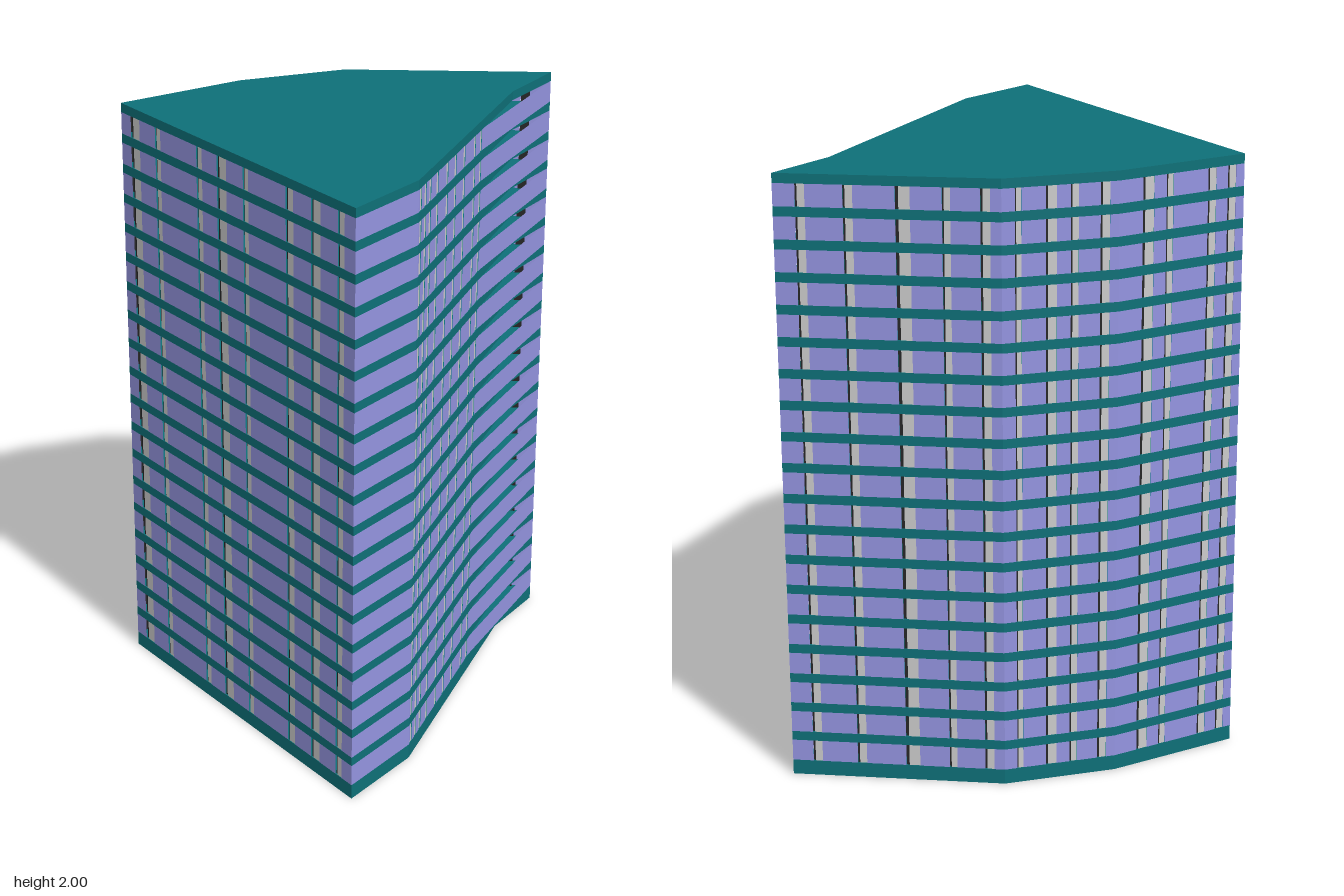
import * as THREE from 'three';
import { mergeGeometries } from 'three/addons/utils/BufferGeometryUtils.js';

const STOREYS = 19, BASE = 0.05, SLAB = 0.031;
const PITCH = (2 - BASE) / STOREYS;
const GLASS_H = PITCH - SLAB;

// Floor plate outline as [x, z], counter-clockwise seen from above
const outline = [[0.3, 0.72], [0.43, 0.44], [0.56, -0.49], [0.65, -0.73],
  [-0.03, -0.6], [-0.34, -0.4], [-0.65, -0.075]];

// Facades: start, end and pillar gaps as [fraction along the wall, gap width]
const facades = [
  { a: [0.3, 0.72], b: [0.43, 0.44], gaps: [] },
  { a: [0.43, 0.44], b: [0.515, -0.18],
    gaps: [0.03, 0.1, 0.17, 0.28, 0.43, 0.56, 0.7, 0.87, 0.97].map((t) => [t, 0.018]) },
  { a: [0.515, -0.18], b: [0.65, -0.73], gaps: [] },
  { a: [0.65, -0.73], b: [-0.03, -0.6],
    gaps: [[0.12, 0.03], [0.33, 0.03], [0.57, 0.045], [0.76, 0.025], [0.93, 0.03]] },
  { a: [-0.03, -0.6], b: [-0.34, -0.4], gaps: [[0.14, 0.02], [0.42, 0.035], [0.62, 0.025], [0.88, 0.03]] },
  { a: [-0.34, -0.4], b: [-0.65, -0.075], gaps: [[0.23, 0.04], [0.4, 0.025], [0.74, 0.03], [0.9, 0.03]] },
  { a: [-0.65, -0.075], b: [0.3, 0.72],
    gaps: [[0.065, 0.05], [0.17, 0.03], [0.357, 0.03], [0.455, 0.05],
      [0.558, 0.028], [0.74, 0.038], [0.845, 0.046], [0.945, 0.032]] },
];

// Upright panel between distances s and e along a facade, set back from its face
function panel({ a, b }, s, e, inset) {
  const dx = b[0] - a[0], dz = b[1] - a[1], len = Math.hypot(dx, dz);
  const ux = dx / len, uz = dz / len, mid = (s + e) / 2;
  const g = new THREE.PlaneGeometry(e - s, GLASS_H);
  g.rotateY(Math.atan2(-uz, ux));
  g.translate(a[0] + ux * mid + uz * inset, GLASS_H / 2, a[1] + uz * mid - ux * inset);
  return g;
}

function slabGeometry(height) {
  const shape = new THREE.Shape(outline.map(([x, z]) => new THREE.Vector2(x, -z)));
  return new THREE.ExtrudeGeometry(shape, { depth: height, bevelEnabled: false }).rotateX(-Math.PI / 2);
}

export function createModel() {
  const tower = new THREE.Group();
  tower.name = 'officeTower';
  const mat = (color, side = THREE.DoubleSide) => new THREE.MeshStandardMaterial({ color, side });
  const slabMat = mat(0x0e7078, THREE.FrontSide);
  const glassMat = mat(0x9494e0), pillarMat = mat(0xcccccc), jambMat = mat(0x262626);

  // One storey of glazing, with recessed dark jambs and grey pillars in the gaps
  const glass = [], pillars = [], jambs = [];
  for (const f of facades) {
    const len = Math.hypot(f.b[0] - f.a[0], f.b[1] - f.a[1]);
    let start = 0;
    for (const [t, w] of f.gaps) {
      const s = t * len - w / 2, e = t * len + w / 2;
      glass.push(panel(f, start, s, 0));
      jambs.push(panel(f, s, e, 0.005));
      pillars.push(panel(f, s + w * 0.22, e, 0.002));
      start = e;
    }
    glass.push(panel(f, start, len, 0));
  }
  const storeyParts = [
    ['glazing', mergeGeometries(glass), glassMat],
    ['pillars', mergeGeometries(pillars), pillarMat],
    ['jambs', mergeGeometries(jambs), jambMat],
  ];

  const add = (parent, name, geometry, material, y) => {
    const mesh = new THREE.Mesh(geometry, material);
    mesh.name = name;
    mesh.position.y = y;
    parent.add(mesh);
  };

  // Thick base, then storeys each topped by a floor slab
  add(tower, 'baseSlab', slabGeometry(BASE), slabMat, 0);
  const slab = slabGeometry(SLAB);
  for (let i = 0; i < STOREYS; i++) {
    const storey = new THREE.Group();
    storey.name = `storey${i + 1}`;
    storey.position.y = BASE + i * PITCH;
    for (const [name, geometry, material] of storeyParts) add(storey, name, geometry, material, 0);
    add(storey, i === STOREYS - 1 ? 'roofSlab' : 'floorSlab', slab, slabMat, GLASS_H);
    tower.add(storey);
  }
  return tower;
}
